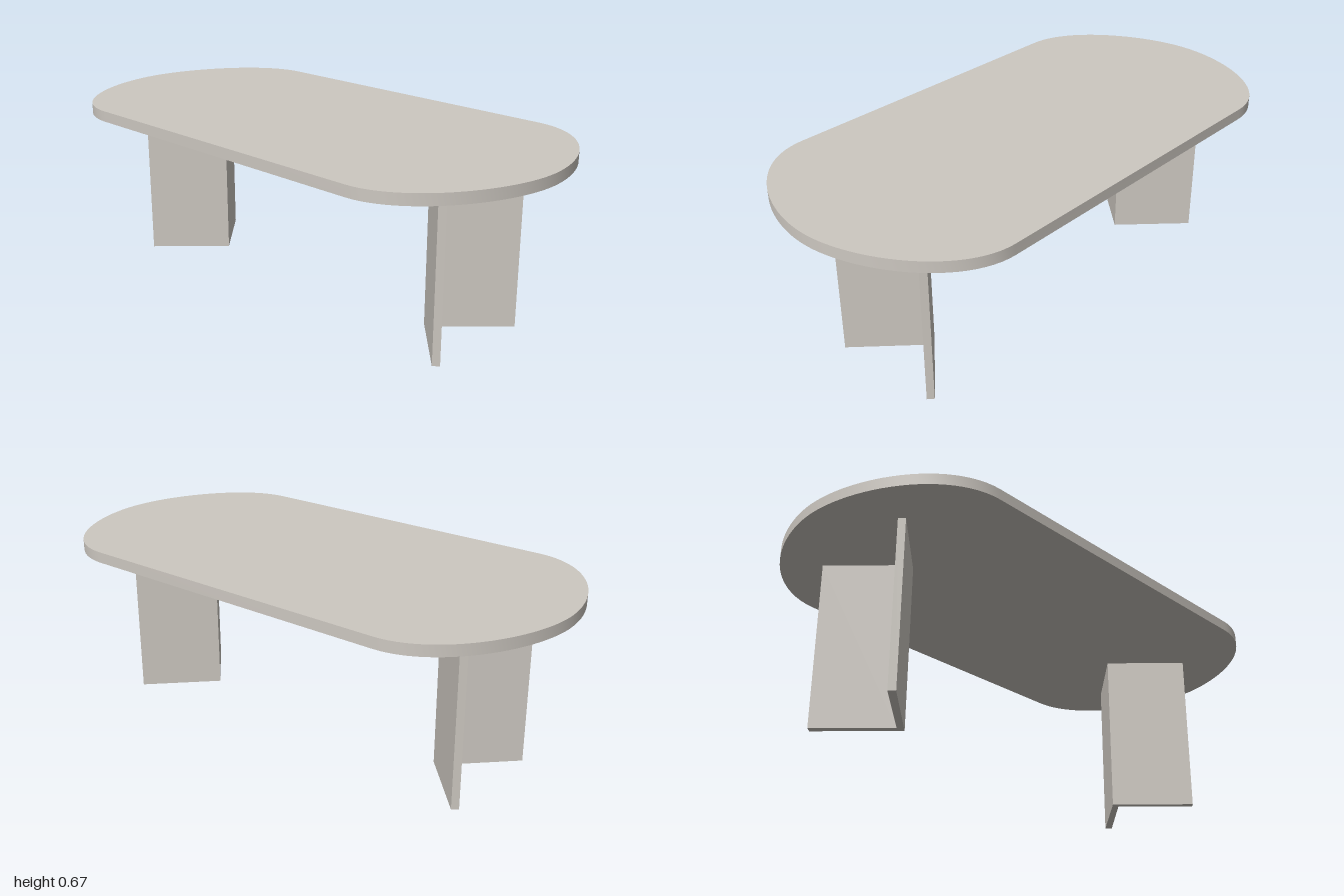
import * as THREE from 'three';
import { toCreasedNormals } from 'three/addons/utils/BufferGeometryUtils.js';

// Extrudes a plan-view shape (x, -z) upward from y0 to y1
function slab(shape, y0, y1) {
  const geo = new THREE.ExtrudeGeometry(shape, { depth: y1 - y0, bevelEnabled: false, curveSegments: 24 });
  geo.rotateX(-Math.PI / 2);
  geo.translate(0, y0, 0);
  return toCreasedNormals(geo, 0.5);
}

export function createModel() {
  const group = new THREE.Group();
  const stone = new THREE.MeshStandardMaterial({ color: 0xcdc8c1 });
  stone.name = 'warm grey';

  const add = (name, geo) => {
    const mesh = new THREE.Mesh(geo, stone);
    mesh.name = name;
    group.add(mesh);
  };

  // Tabletop: straight long sides and softly rounded ends
  const w = 0.505;
  const top = new THREE.Shape();
  top.moveTo(-0.62, -w);
  top.lineTo(0.62, -w);
  top.bezierCurveTo(0.84, -w, 1, -0.22, 1, 0);
  top.bezierCurveTo(1, 0.22, 0.84, w, 0.62, w);
  top.lineTo(-0.62, w);
  top.bezierCurveTo(-0.84, w, -1, 0.22, -1, 0);
  top.bezierCurveTo(-1, -0.22, -0.84, -w, -0.62, -w);
  add('tabletop', slab(top, 0.625, 0.665));

  // V-shaped legs, each with its point toward the middle of the table
  const zMid = -0.0175;
  const profile = [[0, 0], [0.22, 0.2275], [0.24, 0.2095], [0.034, 0], [0.24, -0.2095], [0.22, -0.2275]];
  for (const [name, side, apex] of [['leftLeg', 1, 0.52], ['rightLeg', -1, 0.545]]) {
    const points = profile.map(([x, z]) => new THREE.Vector2(side * (apex + x), -(zMid + z)));
    add(name, slab(new THREE.Shape(points), 0, 0.625));
  }
  return group;
}
